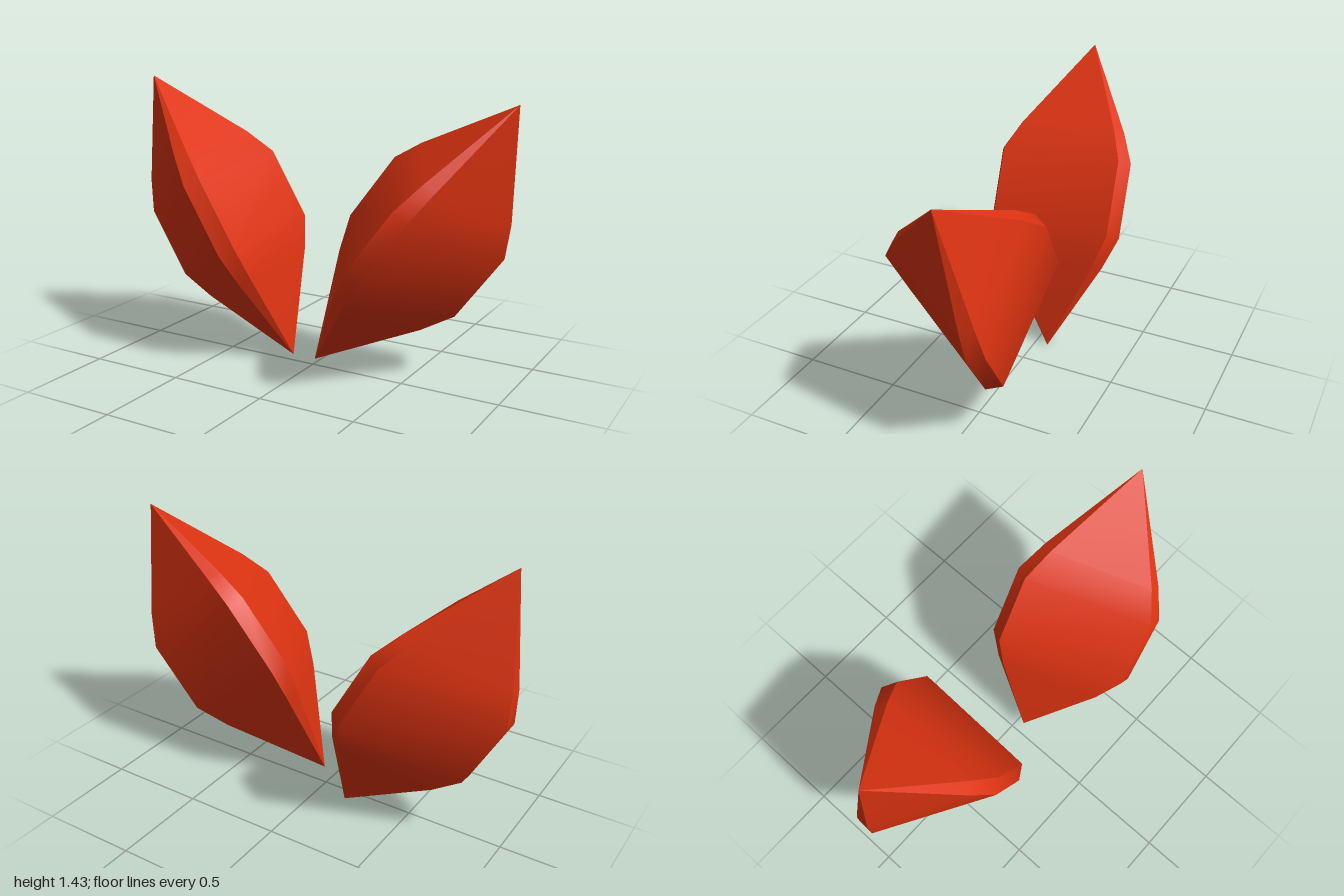
import * as THREE from 'three';
import { toCreasedNormals } from 'three/addons/utils/BufferGeometryUtils.js';

// [position along the axis, radius] of the rings between the two pointed tips
const RINGS = [[0.285, 0.316], [0.385, 0.402], [0.62, 0.402], [0.715, 0.32]];
const BEVEL = 6; // half angle of each bevelled corner, degrees
const SIDES = 6;

// Three-sided crystal with bevelled corners, pointed at both ends
function crystalGeometry(bottom, top, twist) {
  const axis = top.clone().sub(bottom);
  const d = axis.clone().normalize();
  const w = new THREE.Vector3(-axis.y, axis.x, 0).normalize();
  const v = new THREE.Vector3().crossVectors(d, w);

  const points = [bottom];
  for (const [t, radius] of RINGS) {
    for (let i = 0; i < SIDES; i++) {
      const corner = Math.floor(i / 2) * 120 + (i % 2 ? BEVEL : -BEVEL);
      const a = THREE.MathUtils.degToRad(corner + twist);
      points.push(bottom.clone()
        .addScaledVector(axis, t)
        .addScaledVector(w, radius * Math.cos(a))
        .addScaledVector(v, radius * Math.sin(a)));
    }
  }
  points.push(top);

  const index = [];
  const at = (ring, i) => 1 + ring * SIDES + (i % SIDES);
  const last = RINGS.length - 1;
  for (let i = 0; i < SIDES; i++) {
    index.push(0, at(0, i + 1), at(0, i)); // lower tip
    for (let r = 0; r < last; r++) {
      index.push(at(r, i), at(r, i + 1), at(r + 1, i + 1));
      index.push(at(r, i), at(r + 1, i + 1), at(r + 1, i));
    }
    index.push(at(last, i), at(last, i + 1), points.length - 1); // upper tip
  }

  const geometry = new THREE.BufferGeometry().setFromPoints(points);
  geometry.setIndex(index);
  // smooth along each long face, sharp between neighbouring faces
  return toCreasedNormals(geometry, THREE.MathUtils.degToRad(40));
}

export function createModel() {
  const group = new THREE.Group();
  group.name = 'crystalPair';
  const material = new THREE.MeshStandardMaterial({ color: 0xdd3311 });

  const addCrystal = (name, bottom, top, twist) => {
    const mesh = new THREE.Mesh(
      crystalGeometry(new THREE.Vector3(...bottom), new THREE.Vector3(...top), twist), material);
    mesh.name = name;
    group.add(mesh);
  };

  addCrystal('rightCrystal', [-0.16, 0, -0.07], [-0.955, 1.435, 0.025], -3);
  addCrystal('leftCrystal', [0.04, 0.055, 0.05], [1, 1.385, -0.09], -33);
  return group;
}
